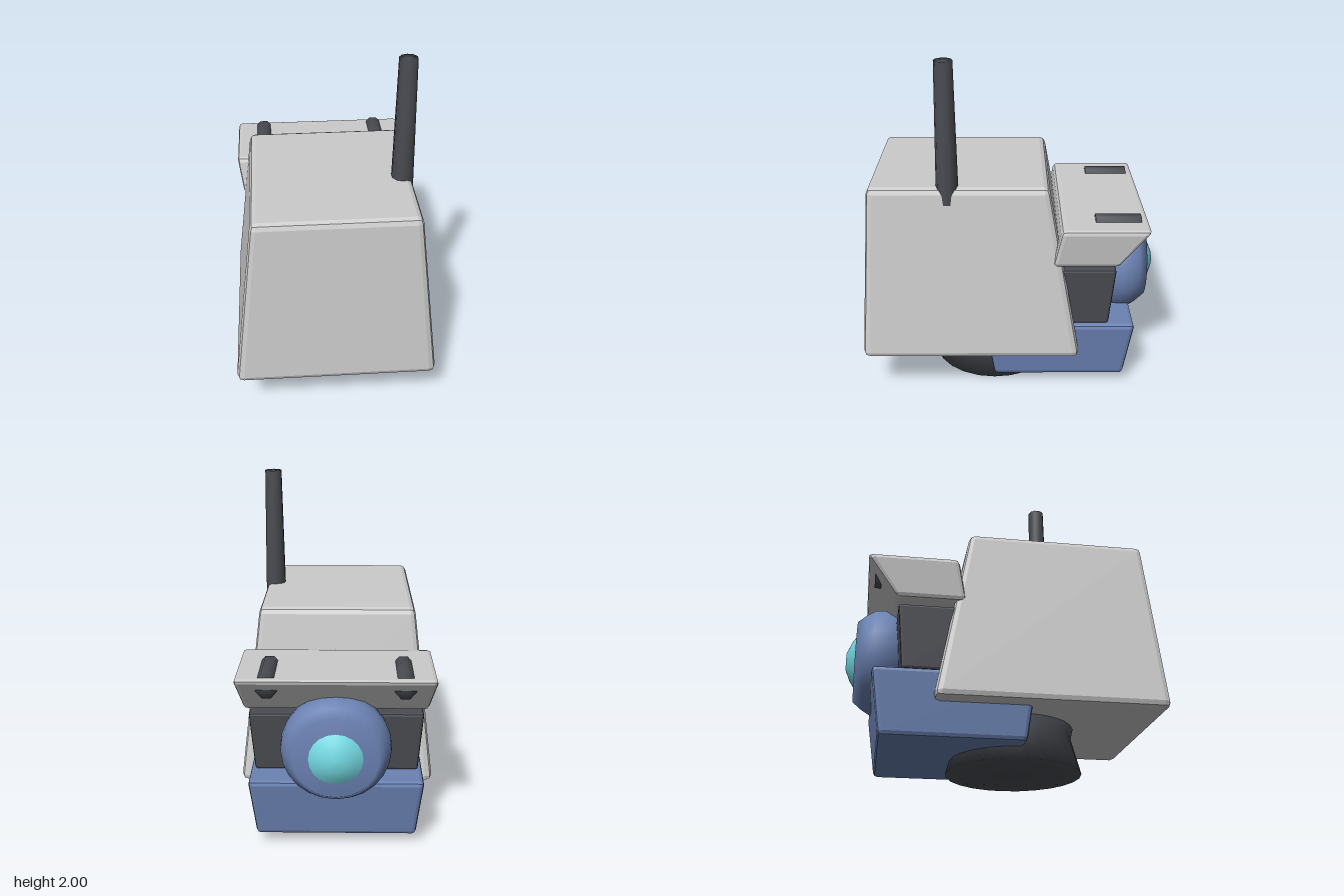
import * as THREE from 'three';
import { RoundedBoxGeometry } from 'three/addons/geometries/RoundedBoxGeometry.js';
import { mergeVertices } from 'three/addons/utils/BufferGeometryUtils.js';

const mat = (color) => new THREE.MeshStandardMaterial({ color });
const grey = mat(0xcccccc);
const dark = mat(0x4a4c52);
const blue = mat(0x6b82b3);
const cyan = mat(0x74d8e2);

const lerp = THREE.MathUtils.lerp;

// Bevelled box whose bottom and top are separate rectangles: { y, x: half width, z: [rear, front] }
function taperedBox(bottom, top, bevel) {
  const w = bottom.x + top.x;
  const h = top.y - bottom.y;
  const d = Math.abs(bottom.z[1] - bottom.z[0] + top.z[1] - top.z[0]) / 2;
  const geo = new RoundedBoxGeometry(w, h, d, 1, bevel);
  const p = geo.attributes.position;
  for (let i = 0; i < p.count; i++) {
    const t = p.getY(i) / h + 0.5;
    const s = p.getZ(i) / d + 0.5;
    p.setXYZ(
      i,
      (p.getX(i) / w) * 2 * lerp(bottom.x, top.x, t),
      lerp(bottom.y, top.y, t),
      lerp(lerp(bottom.z[0], bottom.z[1], s), lerp(top.z[0], top.z[1], s), t)
    );
  }
  geo.computeVertexNormals();
  return geo;
}

// Weld all vertices so that shading runs smoothly over the rims
function smooth(geo) {
  geo.deleteAttribute('normal');
  geo.deleteAttribute('uv');
  const welded = mergeVertices(geo, 1e-4);
  welded.computeVertexNormals();
  return welded;
}

const lathe = (points, sides) =>
  new THREE.LatheGeometry(points.map(([r, y]) => new THREE.Vector2(r, y)), sides);

export function createModel() {
  const group = new THREE.Group();
  const add = (name, geo, material, x = 0, y = 0, z = 0) => {
    const mesh = new THREE.Mesh(geo, material);
    mesh.name = name;
    mesh.position.set(x, y, z);
    group.add(mesh);
    return mesh;
  };

  // Large head casing
  add('headShell', taperedBox(
    { y: 0.26, x: 0.572, z: [-0.4, 0.873] },
    { y: 1.29, x: 0.452, z: [-0.21, 0.808] }, 0.035), grey);

  // Lower jaw
  add('jaw', taperedBox(
    { y: 0.07, x: 0.457, z: [-0.673, 0.105] },
    { y: 0.435, x: 0.495, z: [-0.727, 0.16] }, 0.025), blue);

  // Dark block behind the eye
  add('faceBlock', taperedBox(
    { y: 0.435, x: 0.465, z: [-0.57, 0] },
    { y: 0.8, x: 0.49, z: [-0.602, 0] }, 0.015), dark);

  // Overhanging brow
  add('brow', taperedBox(
    { y: 0.83, x: 0.51, z: [-0.61, -0.233] },
    { y: 1.07, x: 0.546, z: [-0.79, -0.28] }, 0.025), grey);

  // Pegs sunk into the brow, one per side
  for (const side of [-1, 1]) {
    const peg = new THREE.CylinderGeometry(1, 1, 0.26, 8);
    peg.rotateY(Math.PI / 8).rotateX(Math.PI / 2).scale(0.0628, 0.0785, 1);
    add(side > 0 ? 'leftBrowPeg' : 'rightBrowPeg', smooth(peg), dark, side * 0.372, 1.023, -0.607);
  }

  // Eye and lens, turned about the forward axis
  const eye = lathe([
    [0, 0.42], [0.16, 0.45], [0.26, 0.53], [0.302, 0.61], [0.31, 0.67],
    [0.305, 0.72], [0.275, 0.77], [0.235, 0.82], [0, 0.825]], 24);
  add('eye', eye.rotateX(-Math.PI / 2), blue, 0, 0.635, 0);
  const lens = lathe([[0.16, 0.815], [0.11, 0.848], [0.05, 0.873], [0, 0.875]], 20);
  add('lens', lens.rotateX(-Math.PI / 2), cyan, 0, 0.632, 0);

  // Waisted neck
  const neck = lathe([[0, 0], [0.385, 0], [0.332, 0.2], [0.375, 0.4], [0, 0.4]], 24);
  add('neck', smooth(neck), dark, 0, 0, 0.105);

  // Aerial
  add('antenna', smooth(new THREE.CylinderGeometry(0.051, 0.066, 0.9, 10)), dark, 0.402, 1.55, 0.36);

  return group;
}
